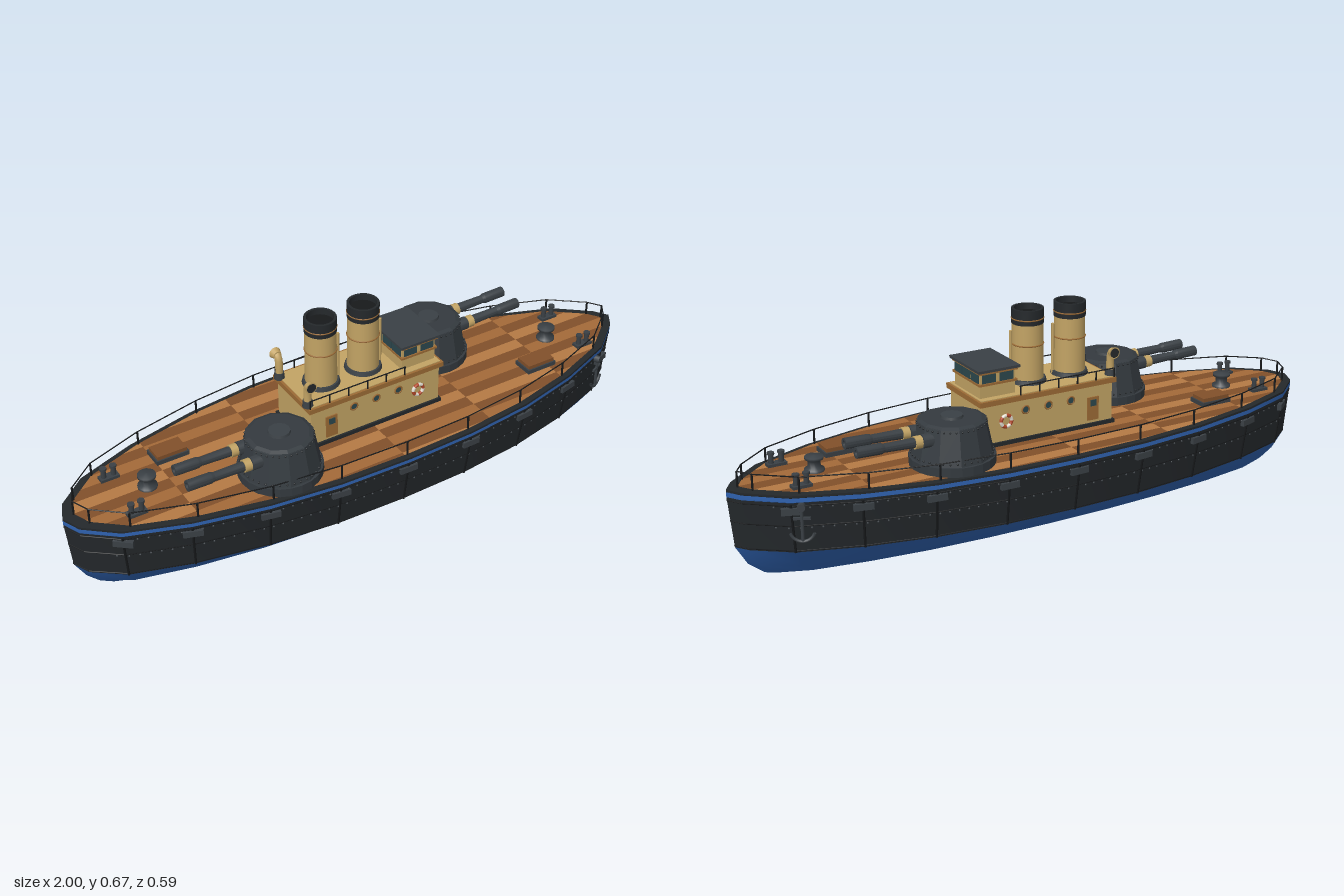
import * as THREE from 'three';
import { toCreasedNormals, mergeGeometries } from 'three/addons/utils/BufferGeometryUtils.js';

const mat = (color, flat = false) => new THREE.MeshStandardMaterial({ color, flatShading: flat, side: THREE.DoubleSide });
const M = {
  black: mat(0x24282b), iron: mat(0x3a4045), turret: mat(0x343a3f, true), line: mat(0x17191b),
  blue: mat(0x2f62b0), tan: mat(0xc2a364), trim: mat(0x9c6b35), wood: mat(0xa36a38),
  woodDark: mat(0x81502a), woodLight: mat(0xb47a44), glass: mat(0x2c474d), white: mat(0xe5e0d4), red: mat(0xb5482a),
};

// Half plan of the hull from bow to stern, mirrored to a closed loop
const half = [[1, 0], [0.97, 0.045], [0.86, 0.135], [0.67, 0.207], [0.46, 0.257], [0.235, 0.283], [0, 0.29],
  [-0.235, 0.283], [-0.46, 0.257], [-0.69, 0.207], [-0.88, 0.14], [-0.975, 0.06], [-1, 0]];
const plan = [...half, ...half.slice(1, -1).reverse().map(([x, z]) => [x, -z])];
const ring = ([y, sx, sz]) => plan.map(([x, z]) => new THREE.Vector3(x * sx, y, z * sz));
const WATER = [0.1, 0.985, 0.895], SHEER = [0.262, 1, 0.985];

function add(parent, name, geo, material, x = 0, y = 0, z = 0) {
  const m = new THREE.Mesh(geo, material);
  m.name = name;
  m.position.set(x, y, z);
  parent.add(m);
  return m;
}
const box = (p, n, m, w, h, d, x, y, z) => add(p, n, new THREE.BoxGeometry(w, h, d), m, x, y, z);
const cyl = (p, n, m, rt, rb, h, x, y, z, seg = 20) => add(p, n, new THREE.CylinderGeometry(rt, rb, h, seg), m, x, y, z);
function group(parent, name, x = 0, y = 0, z = 0) {
  const g = new THREE.Group();
  g.name = name;
  g.position.set(x, y, z);
  parent.add(g);
  return g;
}

// Skin between successive plan sections, optionally closed below or above
function loft(sections, { bottom = false, top = false, crease = 0.5 } = {}) {
  const rings = sections.map(ring), v = [];
  const tri = (...p) => p.forEach(q => v.push(q.x, q.y, q.z));
  const n = plan.length;
  for (let i = 0; i < n; i++) {
    const j = (i + 1) % n;
    for (let k = 0; k + 1 < rings.length; k++) {
      const a = rings[k], b = rings[k + 1];
      tri(a[i], b[i], b[j]);
      tri(a[i], b[j], a[j]);
    }
    const lo = rings[0], hi = rings[rings.length - 1];
    if (bottom) tri(new THREE.Vector3(0, lo[0].y, 0), lo[i], lo[j]);
    if (top) tri(new THREE.Vector3(0, hi[0].y, 0), hi[j], hi[i]);
  }
  const g = new THREE.BufferGeometry();
  g.setAttribute('position', new THREE.Float32BufferAttribute(v, 3));
  return toCreasedNormals(g, crease);
}

// Round bar geometry between two points
function rod(a, b, r, seg = 5) {
  const d = b.clone().sub(a);
  const g = new THREE.CylinderGeometry(r, r, d.length(), seg);
  g.applyQuaternion(new THREE.Quaternion().setFromUnitVectors(new THREE.Vector3(0, 1, 0), d.normalize()));
  return g.translate((a.x + b.x) / 2, (a.y + b.y) / 2, (a.z + b.z) / 2);
}
const loopRods = (pts, r) => mergeGeometries(pts.map((p, i) => rod(p, pts[(i + 1) % pts.length], r)));

// Point on the black side plating at a given x, height and side
function sidePoint(x, y, side) {
  const k = half.findIndex(p => p[0] <= x), a = half[k - 1], b = half[k];
  const z = THREE.MathUtils.mapLinear(x, a[0], b[0], a[1], b[1]);
  const t = (y - WATER[0]) / (SHEER[0] - WATER[0]);
  return new THREE.Vector3(x * (0.985 + 0.015 * t), y, side * z * (0.895 + 0.09 * t));
}

// Keep the part of a polygon where s * p[axis] <= limit
function clip(poly, axis, s, limit) {
  const out = [];
  poly.forEach((p, i) => {
    const q = poly[(i + 1) % poly.length], dp = s * p[axis] - limit, dq = s * q[axis] - limit;
    if (dp <= 0) out.push(p);
    if (dp * dq < 0) out.push(p.map((c, k) => c + (q[k] - c) * dp / (dp - dq)));
  });
  return out;
}

function buildHull(ship) {
  const hull = group(ship, 'hull');
  add(hull, 'underwaterHull', loft([[0, 0.9, 0.42], [0.04, 0.95, 0.67], WATER], { bottom: true, crease: 0.6 }), M.blue);
  add(hull, 'sidePlating', loft([WATER, SHEER], { crease: 0.25 }), M.black);
  add(hull, 'blueStrake', loft([[0.26, 1, 0.985], [0.262, 1, 1], [0.277, 1, 1]]), M.blue);
  add(hull, 'deckEdge', loft([[0.275, 1, 1], [0.276, 1, 1.01], [0.283, 1, 1.01]], { top: true }), M.black);

  // Staggered deck planks cut to the deck outline
  const inner = plan.map(([x, z]) => [x * 0.965, z * 0.955]);
  const W = 0.044, L = 0.325, tones = [M.woodDark, M.wood, M.woodLight];
  for (let r = -7; r < 7; r++) for (let c = -4; c < 4; c++) {
    let p = clip(clip(inner, 1, -1, -r * W), 1, 1, (r + 1) * W);
    p = clip(clip(p, 0, -1, -(c * L - 0.01)), 0, 1, (c + 1) * L - 0.01);
    if (p.length < 3) continue;
    const g = new THREE.ShapeGeometry(new THREE.Shape(p.map(([x, z]) => new THREE.Vector2(x, -z))));
    add(hull, 'deckPlank', g.rotateX(-Math.PI / 2), (r + c) & 1 ? M.woodDark : tones[1 + ((r >> 1) & 1)], 0, 0.286, 0);
  }

  // Plate seams, rivets, scuppers and anchors
  const seams = [0.105, 0.185, 0.25].map(y => loopRods(
    plan.map(([x, z]) => { const t = (y - 0.1) / 0.162; return new THREE.Vector3(x * (0.985 + 0.015 * t), y, z * (0.895 + 0.09 * t)); }), 0.0018));
  const rivets = [];
  for (const s of [1, -1]) {
    for (const [x] of half.slice(2, -2)) {
      seams.push(rod(sidePoint(x, 0.1, s), sidePoint(x, 0.255, s), 0.004));
      const p = sidePoint(x, 0.235, s), q = sidePoint(x - 0.02, 0.235, s);
      const b = box(hull, 'scupper', M.iron, 0.06, 0.02, 0.014, p.x, p.y, p.z + s * 0.002);
      b.rotation.y = -Math.atan2(q.z - p.z, q.x - p.x);
    }
    for (let x = -0.9; x < 0.92; x += 0.03) for (const y of [0.178, 0.243]) {
      const p = sidePoint(x, y, s);
      rivets.push(new THREE.SphereGeometry(0.0035, 5, 4).translate(p.x, p.y, p.z));
    }
    const a = sidePoint(0.84, 0.2, s), anchor = group(hull, 'anchor', a.x, 0, a.z + s * 0.014);
    anchor.rotation.y = s * 0.45;
    cyl(anchor, 'anchorShank', M.iron, 0.005, 0.005, 0.11, 0, 0.2, 0, 8);
    box(anchor, 'anchorStock', M.iron, 0.05, 0.007, 0.007, 0, 0.215, 0);
    add(anchor, 'anchorFlukes', new THREE.TorusGeometry(0.036, 0.005, 6, 14, Math.PI * 0.8).rotateZ(Math.PI * 1.1), M.iron, 0, 0.18, 0);
    cyl(anchor, 'hawsePipe', M.iron, 0.012, 0.012, 0.02, 0, 0.25, 0, 10).rotation.x = Math.PI / 2;
  }
  add(hull, 'plateSeams', mergeGeometries(seams), M.line);
  add(hull, 'rivets', mergeGeometries(rivets), M.iron);
}

function buildDeckFittings(ship) {
  // Guard rail around the deck
  const rail = plan.map(([x, z]) => new THREE.Vector3(x * 0.965, 0.332, z * 0.95));
  const posts = rail.map(p => rod(new THREE.Vector3(p.x, 0.283, p.z), p, 0.0035));
  add(ship, 'deckRailing', mergeGeometries([loopRods(rail, 0.002), ...posts]), M.line);

  for (const s of [1, -1]) {
    const capstan = add(ship, 'capstan', new THREE.LatheGeometry(
      [[0.03, 0], [0.03, 0.008], [0.019, 0.014], [0.019, 0.032], [0.028, 0.038], [0.028, 0.046], [0, 0.05]].map(p => new THREE.Vector2(...p)), 16), M.iron);
    capstan.position.set(s * 0.73, 0.285, 0);
    for (const z of [-0.095, 0.095]) {
      const b = group(ship, 'bollards', s * 0.81, 0.285, z);
      box(b, 'bollardBase', M.iron, 0.06, 0.01, 0.028, 0, 0.005, 0);
      for (const x of [-0.016, 0.016]) {
        cyl(b, 'bollardPost', M.iron, 0.008, 0.008, 0.035, x, 0.022, 0, 10);
        cyl(b, 'bollardHead', M.iron, 0.011, 0.011, 0.007, x, 0.041, 0, 10);
      }
    }
    box(ship, 'hatchCoaming', M.iron, 0.108, 0.016, 0.07, s * 0.61, 0.292, s * 0.105);
    box(ship, 'hatchLid', M.woodDark, 0.098, 0.012, 0.06, s * 0.61, 0.306, s * 0.105);
  }
}

// Twelve-sided gun house with two barrels pointing along +x
function buildTurret(ship, x, z, turn) {
  const t = group(ship, 'gunTurret', x, 0, z);
  t.rotation.y = turn;
  cyl(t, 'turretRing', M.turret, 0.13, 0.13, 0.028, 0, 0.299, 0, 24);
  cyl(t, 'turretWall', M.turret, 0.103, 0.125, 0.107, 0, 0.3665, 0, 12).rotation.y = Math.PI / 12;
  cyl(t, 'turretRoof', M.turret, 0.09, 0.104, 0.006, 0, 0.422, 0, 12).rotation.y = Math.PI / 12;
  cyl(t, 'turretHatch', M.iron, 0.033, 0.036, 0.012, 0, 0.427, 0, 12);
  const rivets = [];
  for (let i = 0; i < 36; i++) for (const [r, y] of [[0.122, 0.322], [0.103, 0.412]]) {
    const a = i * Math.PI / 18;
    rivets.push(new THREE.SphereGeometry(0.0035, 5, 4).translate(Math.cos(a) * r, y, Math.sin(a) * r));
  }
  add(t, 'turretRivets', mergeGeometries(rivets), M.black);
  // Barrel profile as radius against distance from the turret
  const profile = [[0, 0.05], [0.021, 0.05], [0.021, 0.12], [0.016, 0.12], [0.0135, 0.24], [0.017, 0.25], [0.017, 0.325], [0.009, 0.325], [0.008, 0.3]];
  for (const side of [-0.041, 0.041]) {
    const gun = group(t, 'gun', 0, 0.381, side);
    gun.rotation.z = 0.03;
    const g = new THREE.LatheGeometry(profile.map(p => new THREE.Vector2(...p)), 14).rotateZ(-Math.PI / 2);
    add(gun, 'gunBarrel', toCreasedNormals(g, 0.5), M.iron);
    cyl(gun, 'gunCollar', M.tan, 0.0195, 0.0195, 0.022, 0.133, 0, 0, 14).rotation.z = Math.PI / 2;
  }
}

function buildSuperstructure(ship) {
  const s = group(ship, 'superstructure');
  box(s, 'deckhouseBase', M.black, 0.475, 0.014, 0.214, 0, 0.291, 0);
  box(s, 'deckhouse', M.tan, 0.46, 0.137, 0.2, 0, 0.353, 0);
  box(s, 'deckhouseRoof', M.trim, 0.48, 0.016, 0.22, 0, 0.428, 0);
  box(s, 'roofPlanking', M.tan, 0.465, 0.003, 0.205, 0, 0.437, 0);

  for (const d of [1, -1]) {
    // Doors, portholes, lifebuoys and rail on each side
    box(s, 'door', M.trim, 0.04, 0.075, 0.006, -0.16, 0.345, d * 0.101);
    box(s, 'doorWindow', M.glass, 0.02, 0.02, 0.003, -0.16, 0.364, d * 0.105);
    for (const x of [-0.08, 0, 0.08]) {
      add(s, 'portholeRim', new THREE.TorusGeometry(0.012, 0.003, 6, 16), M.trim, x, 0.385, d * 0.101);
      cyl(s, 'portholeGlass', M.glass, 0.011, 0.011, 0.004, x, 0.385, d * 0.1, 16).rotation.x = Math.PI / 2;
    }
    for (let i = 0; i < 8; i++) add(s, 'lifebuoy', new THREE.TorusGeometry(0.018, 0.0055, 8, 5, Math.PI / 4).rotateZ(i * Math.PI / 4),
      i % 2 ? M.white : M.red, 0.15, 0.363, d * 0.106);
    const rail = [rod(new THREE.Vector3(-0.235, 0.465, d * 0.105), new THREE.Vector3(0.1, 0.465, d * 0.105), 0.002)];
    for (let i = 0; i < 6; i++) {
      const x = -0.235 + i * 0.067;
      rail.push(rod(new THREE.Vector3(x, 0.435, d * 0.105), new THREE.Vector3(x, 0.466, d * 0.105), 0.0025));
    }
    add(s, 'roofRailing', mergeGeometries(rail), M.line);

    // Cowl ventilator opening outward
    const v = group(s, 'ventilator', -0.232, 0.436, d * 0.085);
    v.scale.z = d;
    cyl(v, 'ventilatorBase', M.iron, 0.015, 0.017, 0.022, 0, 0.011, 0, 14);
    const curve = new THREE.CatmullRomCurve3([[0, 0, 0], [0, 0.055, 0], [0, 0.073, 0.004], [0, 0.079, 0.014]].map(p => new THREE.Vector3(...p)));
    add(v, 'ventilatorPipe', new THREE.TubeGeometry(curve, 12, 0.012, 14), M.tan);
    cyl(v, 'ventilatorCowl', M.tan, 0.019, 0.013, 0.018, 0, 0.079, 0.015, 16).rotation.x = Math.PI / 2;
    cyl(v, 'ventilatorMouth', M.black, 0.015, 0.015, 0.002, 0, 0.079, 0.0245, 16).rotation.x = Math.PI / 2;
  }

  // Wheelhouse with a band of windows
  const w = group(s, 'wheelhouse', 0.165, 0, 0);
  box(w, 'wheelhouseWall', M.tan, 0.12, 0.086, 0.16, 0, 0.478, 0);
  box(w, 'windowSill', M.trim, 0.13, 0.007, 0.174, 0, 0.481, 0);
  box(w, 'windowHead', M.trim, 0.13, 0.008, 0.178, 0, 0.518, 0);
  box(w, 'wheelhouseRoof', M.iron, 0.142, 0.008, 0.188, 0, 0.525, 0);
  for (const d of [1, -1]) {
    for (const z of [-0.052, 0, 0.052]) box(w, 'endWindow', M.glass, 0.006, 0.03, 0.046, d * 0.06, 0.499, z);
    for (const x of [-0.03, 0.03]) box(w, 'sideWindow', M.glass, 0.046, 0.03, 0.006, x, 0.499, d * 0.08);
  }

  // Two funnels with hollow black tops
  for (const x of [-0.135, 0.015]) {
    const f = group(s, 'funnel', x, 0, 0);
    cyl(f, 'funnelBase', M.iron, 0.056, 0.06, 0.016, 0, 0.443, 0, 24);
    cyl(f, 'funnelPipe', M.tan, 0.048, 0.05, 0.19, 0, 0.535, 0, 24);
    const top = [[0.04, 0.6], [0.042, 0.672], [0.05, 0.672], [0.05, 0.625], [0.047, 0.625]].map(p => new THREE.Vector2(...p));
    add(f, 'funnelTop', toCreasedNormals(new THREE.LatheGeometry(top, 24), 0.5), M.black);
    cyl(f, 'funnelInside', M.line, 0.042, 0.042, 0.003, 0, 0.652, 0, 24);
    for (const y of [0.56, 0.641]) add(f, 'funnelBand', new THREE.TorusGeometry(0.049, 0.0025, 6, 24).rotateX(Math.PI / 2), M.trim, 0, y, 0);
    cyl(f, 'steamPipe', M.tan, 0.005, 0.005, 0.165, 0.053, 0.52, 0.012, 8);
  }
}

export function createModel() {
  const ship = new THREE.Group();
  ship.name = 'turretShip';
  buildHull(ship);
  buildDeckFittings(ship);
  buildTurret(ship, 0.35, -0.137, 0);
  buildTurret(ship, -0.36, 0.137, Math.PI);
  buildSuperstructure(ship);
  return ship;
}
